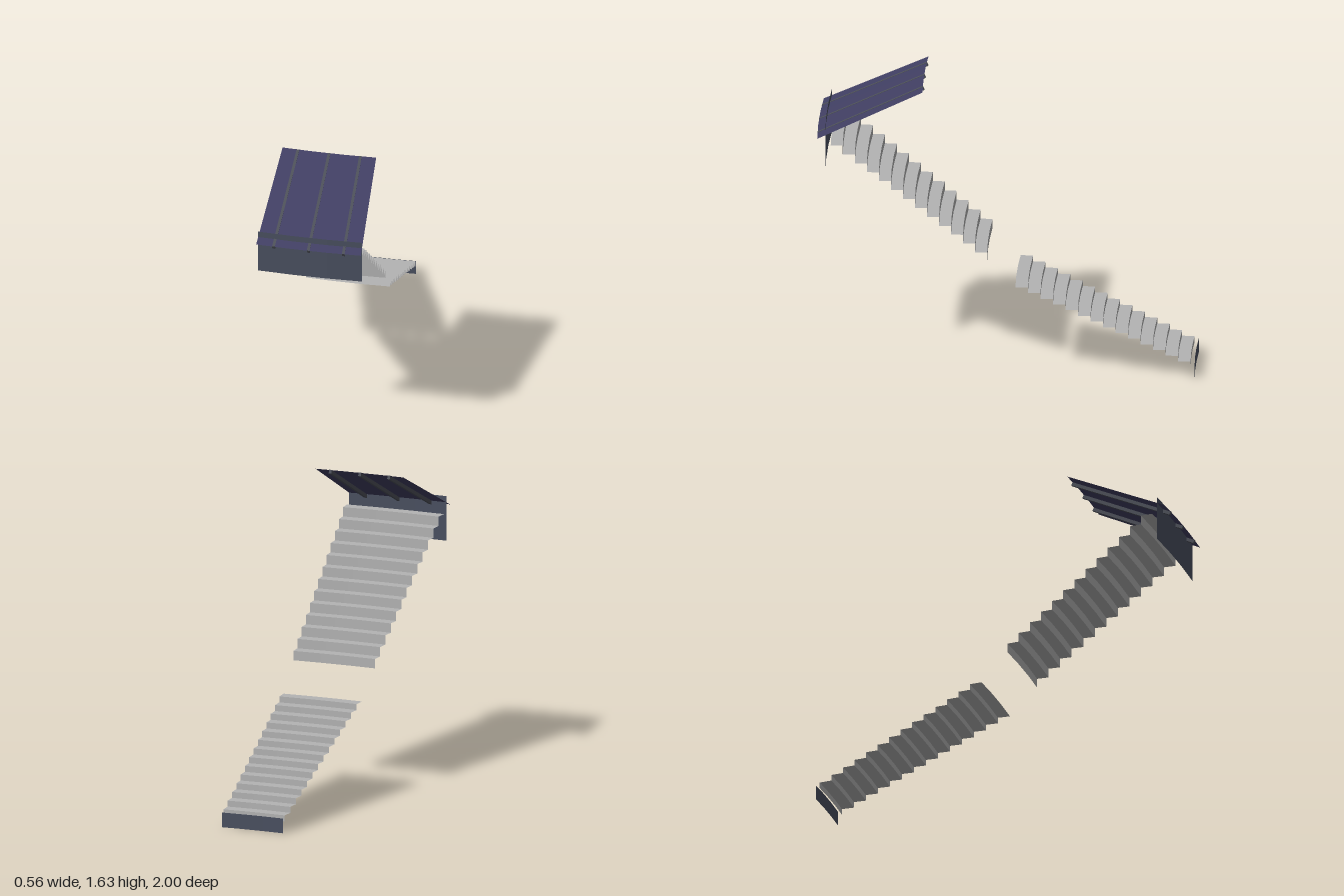
import * as THREE from 'three';

// All parts follow arcs around a vertical axis far behind the stand.
const CENTER_Z = -4.25;
const HALF_ANGLE = 0.0538;
const SECTIONS = 3;

const mat = (name, color) => {
  const m = new THREE.MeshStandardMaterial({ color, side: THREE.DoubleSide });
  m.name = name;
  return m;
};

// Point on the arc whose middle lies at depth z.
function arcPoint(z, y, angle) {
  const r = z - CENTER_Z;
  return new THREE.Vector3(r * Math.sin(angle), y, CENTER_Z + r * Math.cos(angle));
}

// Sweep a [z, y] profile around the arc as flat faceted sheets.
function sweep(name, profile, material) {
  const pos = [];
  for (let s = 0; s < SECTIONS; s++) {
    const a0 = HALF_ANGLE * (2 * s / SECTIONS - 1);
    const a1 = HALF_ANGLE * (2 * (s + 1) / SECTIONS - 1);
    for (let i = 0; i + 1 < profile.length; i++) {
      const [p, q] = [profile[i], profile[i + 1]];
      const a = arcPoint(...p, a0), b = arcPoint(...p, a1);
      const c = arcPoint(...q, a1), d = arcPoint(...q, a0);
      for (const v of [a, c, b, a, d, c]) pos.push(v.x, v.y, v.z);
    }
  }
  // Wind faces so the outside of each sheet looks up or toward the pitch.
  for (let i = 0; i < pos.length; i += 9) {
    for (let k = 0; k < 3; k++) {
      [pos[i + 3 + k], pos[i + 6 + k]] = [pos[i + 6 + k], pos[i + 3 + k]];
    }
  }
  const g = new THREE.BufferGeometry();
  g.setAttribute('position', new THREE.Float32BufferAttribute(pos, 3));
  g.computeVertexNormals();
  const mesh = new THREE.Mesh(g, material);
  mesh.name = name;
  return mesh;
}

// Riser and tread profile for one seating tier.
function steps(count, z, y, depth, rise) {
  const profile = [[z, y]];
  for (let i = 0; i < count; i++) {
    profile.push([z + i * depth, y + (i + 1) * rise]);
    profile.push([z + (i + 1) * depth, y + (i + 1) * rise]);
  }
  return profile;
}

export function createModel() {
  const concrete = mat('pale concrete', 0xb4b4b4);
  const wall = mat('slate wall', 0x4a5060);
  const roofing = mat('indigo roofing', 0x403e62);
  const steel = mat('grey steel', 0x4c4f58);

  const group = new THREE.Group();
  group.name = 'grandstandSection';

  // Seating tiers and the walls at either end
  group.add(
    sweep('lowerTier', steps(14, -0.973, 0.06, 0.0661, 0.0323), concrete),
    sweep('upperTier', steps(13, 0.102, 0.66, 0.0636, 0.0508), concrete),
    sweep('pitchWall', [[-0.995, 0], [-0.995, 0.08]], wall),
    sweep('rearWall', [[0.957, 1.17], [0.957, 1.412]], wall)
  );

  // Sloping roof sheet
  const low = [1.0, 1.358], high = [0.443, 1.624];
  group.add(sweep('roof', [high, low], roofing));

  // One beam under the middle of each roof section, just breaking the surface
  const beams = new THREE.Group();
  beams.name = 'roofBeams';
  for (let s = 0; s < SECTIONS; s++) {
    const angle = HALF_ANGLE * ((2 * s + 1) / SECTIONS - 1);
    const a = arcPoint(...low, angle), b = arcPoint(...high, angle);
    const g = new THREE.BoxGeometry(0.015, 0.02, a.distanceTo(b));
    g.translate(0, -0.0085, 0);
    const beam = new THREE.Mesh(g, steel);
    beam.name = 'roofBeam';
    beam.position.copy(a).add(b).multiplyScalar(0.5);
    beam.lookAt(a);
    beams.add(beam);
  }
  group.add(beams);
  return group;
}
